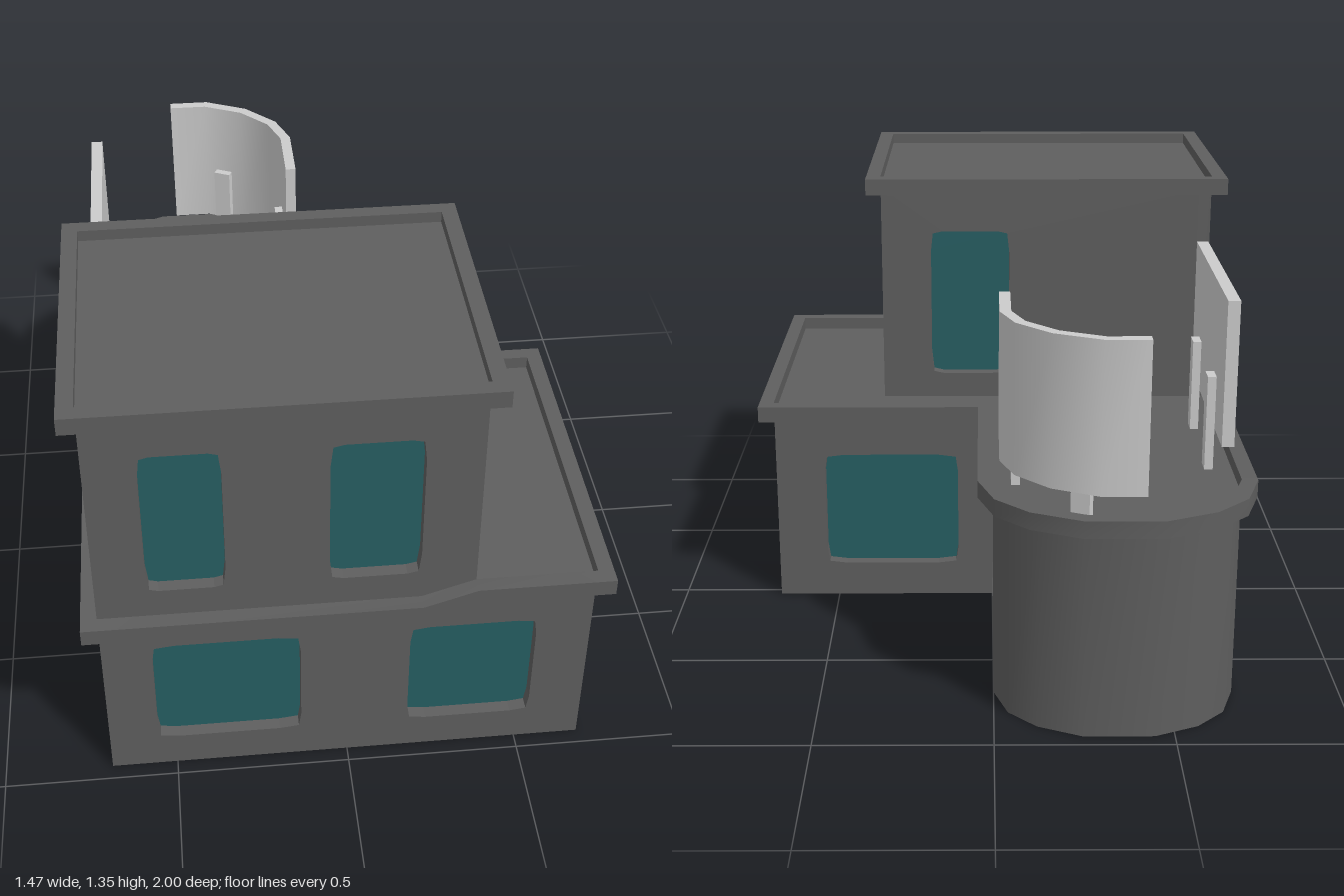
import * as THREE from 'three';
import { toCreasedNormals } from 'three/addons/utils/BufferGeometryUtils.js';

const T = 0.04; // wall thickness
const wallMat = new THREE.MeshStandardMaterial({ color: 0x5e5e5e });
const roofMat = new THREE.MeshStandardMaterial({ color: 0x5e5e5e, side: THREE.DoubleSide });
const glassMat = new THREE.MeshStandardMaterial({ color: 0x265e62, side: THREE.DoubleSide });
const boardMat = new THREE.MeshStandardMaterial({ color: 0xcccccc });

function add(parent, name, geometry, material) {
  const mesh = new THREE.Mesh(geometry, material);
  mesh.name = name;
  parent.add(mesh);
  return mesh;
}

// Sweeps a rectangular section along plan points [x, z, y], with mitred corners.
function band(points, inner, outer, height, closed) {
  const n = points.length, pos = [], index = [];
  const normal = (a, b) => new THREE.Vector2(a[1] - b[1], b[0] - a[0]).normalize();
  points.forEach((p, i) => {
    const prev = points[(i + n - 1) % n], next = points[(i + 1) % n];
    let n1 = normal(prev, p), n2 = normal(p, next);
    if (!closed && i === 0) n1 = n2;
    if (!closed && i === n - 1) n2 = n1;
    const m = n1.clone().add(n2).divideScalar(1 + n1.dot(n2));
    for (const [o, h] of [[outer, 0], [outer, height], [inner, height], [inner, 0]])
      pos.push(p[0] + m.x * o, p[2] + h, p[1] + m.y * o);
  });
  for (let i = 0; i < (closed ? n : n - 1); i++) {
    const a = i * 4, b = ((i + 1) % n) * 4;
    for (let k = 0; k < 4; k++) {
      const l = (k + 1) % 4;
      index.push(a + k, b + k, b + l, a + k, b + l, a + l);
    }
  }
  if (!closed) {
    const e = (n - 1) * 4;
    index.push(0, 1, 2, 0, 2, 3, e, e + 2, e + 1, e, e + 3, e + 2);
  }
  const g = new THREE.BufferGeometry();
  g.setAttribute('position', new THREE.Float32BufferAttribute(pos, 3));
  g.setIndex(index);
  return toCreasedNormals(g, 0.55);
}

// Slightly bulging window outline
function windowPoints([u0, u1, v0, v1]) {
  const b = 0.007, du = (u1 - u0) * 0.15, dv = (v1 - v0) * 0.15;
  return [
    [u0 + b, v0 + b], [u0 + du, v0], [u1 - du, v0], [u1 - b, v0 + b], [u1, v0 + dv], [u1, v1 - dv],
    [u1 - b, v1 - b], [u1 - du, v1], [u0 + du, v1], [u0 + b, v1 - b], [u0, v1 - dv], [u0, v0 + dv],
  ].map(([x, y]) => new THREE.Vector2(x, y));
}

// Flat wall facing +z before turning, outer face at the given distance from the centre
function wall(parent, name, turn, distance, [u0, u1], [v0, v1], windows) {
  const group = new THREE.Group();
  group.name = name;
  group.rotation.y = turn;
  const shape = new THREE.Shape([[u0, v0], [u1, v0], [u1, v1], [u0, v1]].map(p => new THREE.Vector2(...p)));
  for (const w of windows) {
    const outline = windowPoints(w);
    shape.holes.push(new THREE.Path(outline.slice().reverse().concat(outline[11])));
    add(group, 'windowGlass', new THREE.ShapeGeometry(new THREE.Shape(outline)), glassMat)
      .position.z = distance - T + 0.003;
  }
  add(group, 'wallPanel', new THREE.ExtrudeGeometry(shape, { depth: T, bevelEnabled: false }), wallMat)
    .position.z = distance - T;
  parent.add(group);
}

function roof(parent, name, plan, y) {
  const g = new THREE.ShapeGeometry(new THREE.Shape(plan.map(p => new THREE.Vector2(p[0], -p[1]))));
  add(parent, name, g.rotateX(-Math.PI / 2), roofMat).position.y = y;
}

function post(parent, x, z, turn) {
  const p = add(parent, 'boardPost', new THREE.BoxGeometry(0.025, 0.29, 0.055), boardMat);
  p.position.set(x, 0.755, z);
  p.rotation.y = turn;
}

export function createModel() {
  const model = new THREE.Group();
  model.name = 'building';
  const W = 0.69, F = 0.955, Q = Math.PI / 2;
  const low = [0.11, 0.485], high = [0.7, 1.17];

  // Rounded end of the rear wing, from its right side round to its left
  const curve = [
    [0, -0.7], [-0.04, -0.82], [-0.12, -0.9], [-0.245, -0.955],
    [-0.445, -0.955], [-0.57, -0.9], [-0.65, -0.82], [-W, -0.7],
  ];

  // Ground floor
  const ground = new THREE.Group();
  ground.name = 'groundFloor';
  model.add(ground);
  const gh = [0, 0.61];
  wall(ground, 'frontWall', 0, F, [-W, W], gh, [[-0.55, -0.135, ...low], [0.175, 0.535, ...low]]);
  wall(ground, 'leftWall', Q, W, [-F, 0.03], gh, [[-0.74, -0.195, ...low]]);
  wall(ground, 'backWall', 2 * Q, 0.03, [-W, 0], gh, [[-0.535, -0.11, ...low]]);
  wall(ground, 'wingLeftWall', Q, 0, [-0.01, 0.7], gh, [[0.155, 0.53, ...low]]);
  wall(ground, 'rightWall', -Q, W, [-0.7, F], gh, [[-0.53, -0.155, ...low], [0.37, 0.74, ...low]]);
  add(ground, 'roundedWall', band(curve.map(p => [...p, 0]), -T, 0, 0.61, false), wallMat);
  roof(ground, 'terrace', [[-W, F], [W, F], [W, -0.03], [0, -0.03], ...curve], 0.62);

  // Ground floor cornice, stepping down around the upper storey
  const a = 0.61, b = 0.56;
  const path = [
    [-W, F, b], [0.2, F, b], [0.35, F, a], [W, F, a], [W, -0.03, a], [0, -0.03, a],
    ...curve.map(p => [...p, a]), [-W, 0.15, a], [-W, 0.3, b],
  ];
  add(ground, 'lowerCornice', band(path, 0, 0.045, 0.05, true), wallMat);

  // Upper floor
  const upper = new THREE.Group();
  upper.name = 'upperFloor';
  model.add(upper);
  const uh = [0.61, 1.31], X = 0.35, B = 0.155;
  wall(upper, 'frontWall', 0, F, [-W, X], uh, [[-0.55, -0.335, ...high], [-0.055, 0.195, ...high]]);
  wall(upper, 'leftWall', Q, X, [-F, -B], uh, [[-0.74, -0.37, ...high]]);
  wall(upper, 'backWall', 2 * Q, -B, [-X, W], uh, [[-0.195, 0.055, ...high]]);
  wall(upper, 'rightWall', -Q, W, [B, F], uh, [[0.37, 0.74, ...high]]);
  const plan = [[-W, F], [X, F], [X, B], [-W, B]];
  roof(upper, 'upperRoof', plan, 1.312);
  add(upper, 'upperCornice', band(plan.map(p => [...p, 1.295]), 0, 0.045, 0.05, true), wallMat);

  // Flat board on two posts
  const flat = new THREE.Group();
  flat.name = 'flatBoard';
  model.add(flat);
  add(flat, 'boardPanel', new THREE.BoxGeometry(0.035, 0.42, 0.7), boardMat).position.set(-0.652, 0.955, -0.32);
  for (const z of [-0.14, -0.49]) post(flat, -0.622, z, 0);

  // Curved board following the rounded terrace edge
  const curved = new THREE.Group();
  curved.name = 'curvedBoard';
  model.add(curved);
  const bend = [
    [-0.032, -0.475], [-0.032, -0.68], [-0.07, -0.785], [-0.16, -0.88], [-0.285, -0.938], [-0.405, -0.938],
  ];
  add(curved, 'boardPanel', band(bend.map(p => [...p, 0.71]), -0.016, 0.016, 0.43, false), boardMat);
  post(curved, -0.062, -0.61, 0);
  post(curved, -0.235, -0.885, 1.13);
  return model;
}
